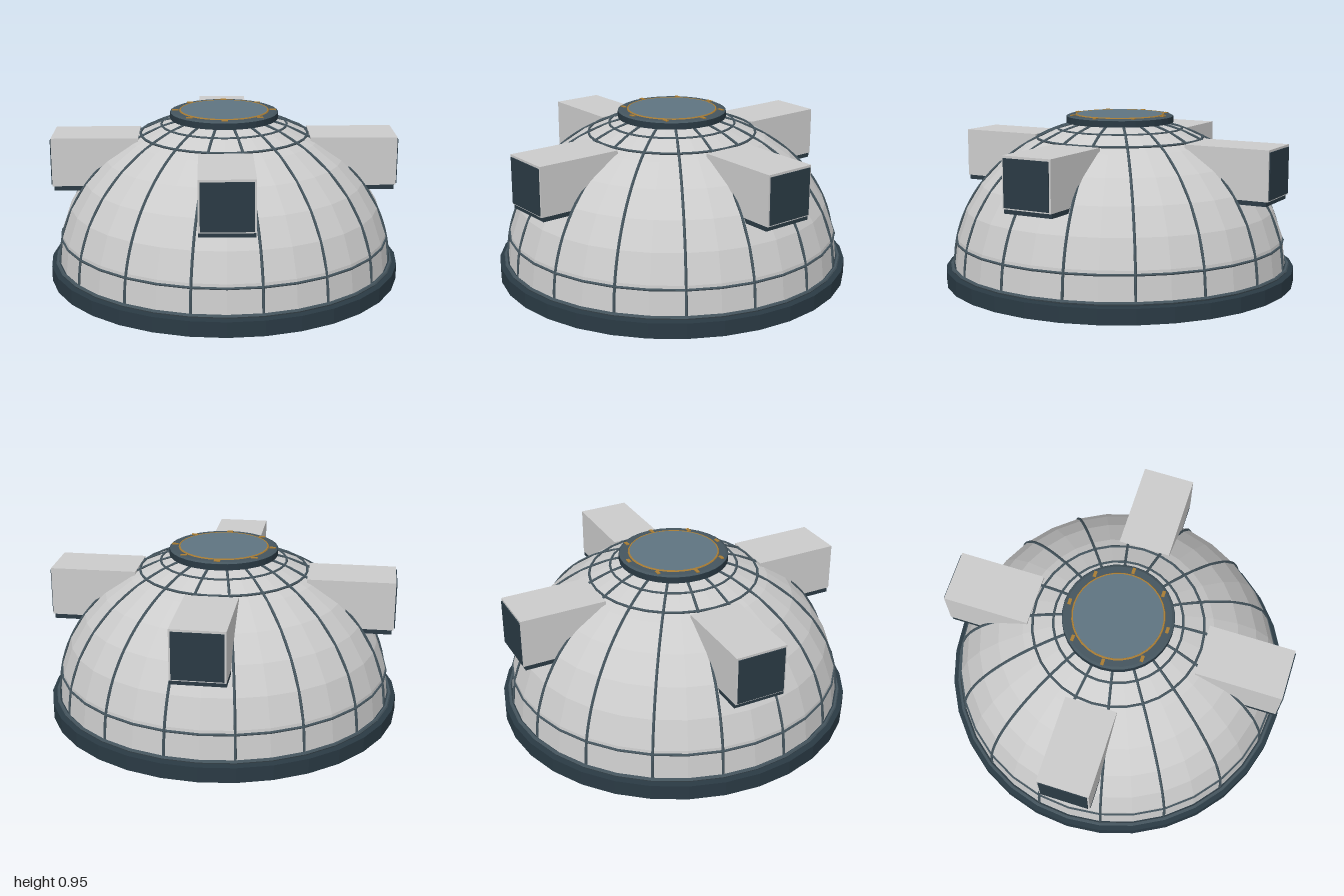
import * as THREE from 'three';

const R = 0.95, H = 0.83, Y0 = 0.1; // dome radius, height and springing level

const material = (color) => new THREE.MeshStandardMaterial({ color, flatShading: true, side: THREE.DoubleSide });

export function createModel() {
  const model = new THREE.Group();
  const grey = material(0xcccccc);
  const dark = material(0x2a3a44);
  const trim = material(0x45555e);
  const glass = material(0x5e7480);
  const gold = material(0xa87c34);

  const add = (name, geometry, mat, parent = model, x = 0, y = 0, z = 0) => {
    const mesh = new THREE.Mesh(geometry, mat);
    mesh.name = name;
    mesh.position.set(x, y, z);
    parent.add(mesh);
    return mesh;
  };
  const ring = (name, radius, y, tube, mat) =>
    add(name, new THREE.TorusGeometry(radius, tube, 6, 32).rotateX(Math.PI / 2), mat, model, 0, y);
  const domeRadius = (y) => R * Math.sqrt(1 - ((y - Y0) / H) ** 2);

  // Foundation
  add('base', new THREE.CylinderGeometry(1, 1, 0.085, 32), dark, model, 0, 0.0425);
  add('baseStep', new THREE.CylinderGeometry(0.955, 0.955, 0.02, 32), dark, model, 0, 0.09);

  // Faceted dome shell
  const profile = [];
  for (let i = 0; i <= 8; i++) {
    const a = (i / 8) * Math.PI / 2;
    profile.push(new THREE.Vector2(R * Math.cos(a), Y0 + H * Math.sin(a)));
  }
  add('dome', new THREE.LatheGeometry(profile, 32), grey);

  // Horizontal seams
  ring('baseSeam', 0.965, 0.1, 0.01, trim);
  for (const y of [0.24, 0.82, 0.87]) ring('domeSeam', domeRadius(y), y, 0.007, trim);

  // Vertical ribs, half a step off the main axes
  const ribPoints = [];
  for (let i = 0; i <= 14; i++) {
    const a = (i / 14) * 1.3;
    ribPoints.push(new THREE.Vector3(0, Y0 + H * Math.sin(a), R * Math.cos(a)));
  }
  const ribGeometry = new THREE.TubeGeometry(new THREE.CatmullRomCurve3(ribPoints), 24, 0.008, 5);
  for (let i = 0; i < 16; i++) {
    add('rib', ribGeometry, trim).rotation.y = (i + 0.5) * Math.PI / 8;
  }

  // Roof hatch with gold trim
  add('hatchCollar', new THREE.CylinderGeometry(0.305, 0.305, 0.035, 32), dark, model, 0, 0.9225);
  add('hatchRim', new THREE.CylinderGeometry(0.29, 0.305, 0.008, 32), trim, model, 0, 0.943);
  add('hatchWindow', new THREE.CylinderGeometry(0.245, 0.245, 0.01, 32), glass, model, 0, 0.946);
  ring('hatchRing', 0.248, 0.947, 0.006, gold);
  for (let i = 0; i < 8; i++) {
    const a = i * Math.PI / 4;
    add('hatchMarker', new THREE.BoxGeometry(0.035, 0.008, 0.018), gold, model,
      0.275 * Math.sin(a), 0.947, 0.275 * Math.cos(a));
  }

  // Four box dormers, one on each axis
  for (let i = 0; i < 4; i++) {
    const dormer = new THREE.Group();
    dormer.name = 'dormer';
    dormer.rotation.y = i * Math.PI / 2;
    model.add(dormer);
    add('dormerBox', new THREE.BoxGeometry(0.29, 0.275, 0.485), grey, dormer, 0, 0.6825, 0.7225);
    add('dormerSill', new THREE.BoxGeometry(0.29, 0.025, 0.475), dark, dormer, 0, 0.5325, 0.7175);
    add('dormerWindow', new THREE.BoxGeometry(0.27, 0.255, 0.01), dark, dormer, 0, 0.68, 0.966);
  }

  return model;
}
